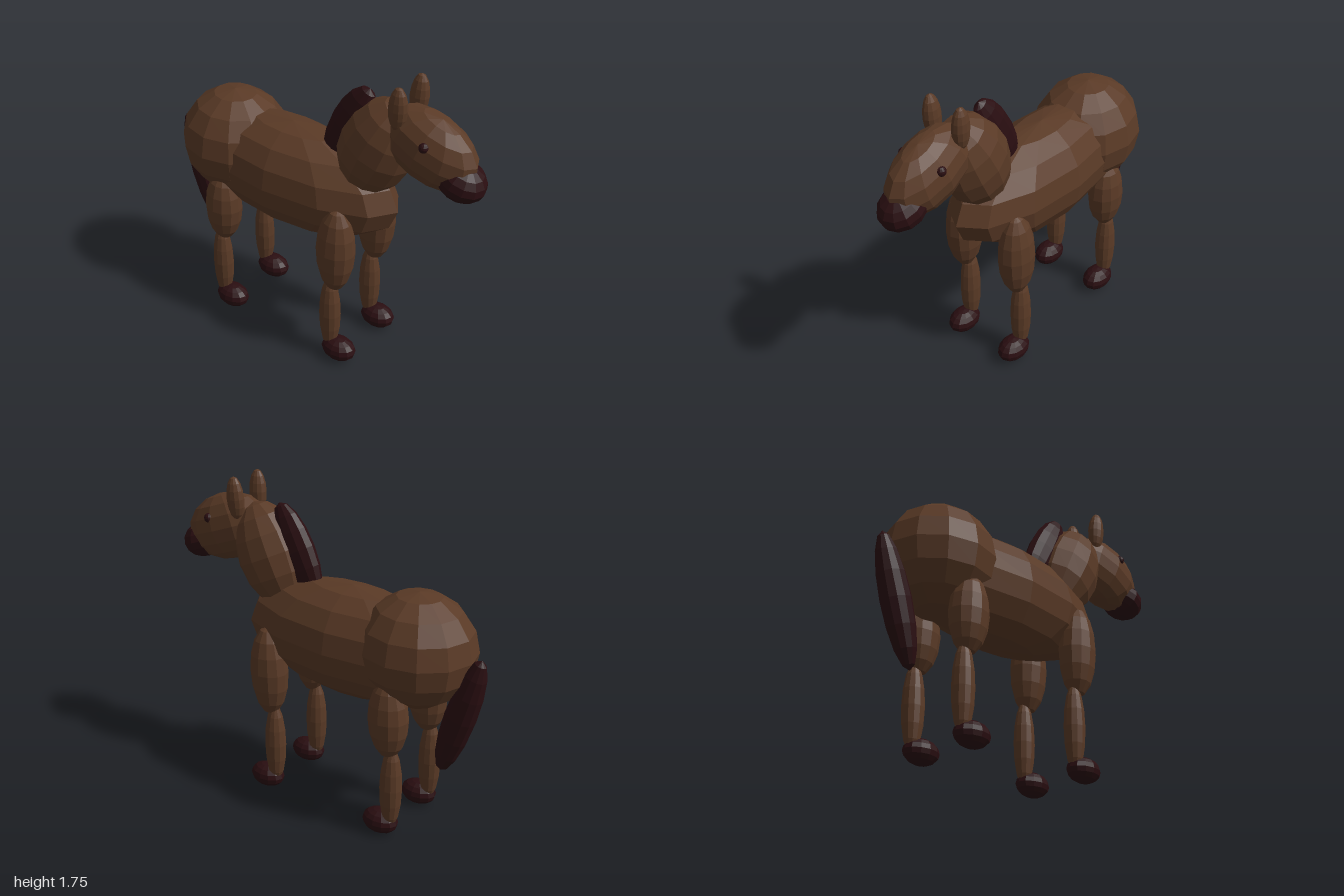
import * as THREE from 'three';

const coat = new THREE.MeshStandardMaterial({ color: 0x5a3a26, flatShading: true });
coat.name = 'brown coat';
const dark = new THREE.MeshStandardMaterial({ color: 0x2a0e11, flatShading: true });
dark.name = 'dark hair and hooves';

// Faceted ellipsoid: centre, radii, and forward pitch around x
function ellipsoid(name, material, center, radii, pitch = 0, roll = 0, sides = 12, rings = 8) {
  const mesh = new THREE.Mesh(new THREE.SphereGeometry(1, sides, rings), material);
  mesh.name = name;
  mesh.position.set(...center);
  mesh.scale.set(...radii);
  mesh.rotation.set(pitch, 0, roll);
  return mesh;
}

// One leg: thigh, shin and hoof
function leg(name, side, thigh, shinZ, hoofZ) {
  const group = new THREE.Group();
  const x = 0.185 * side;
  group.name = name;
  group.add(
    ellipsoid('upperLeg', coat, [x, thigh.y, thigh.z], [0.095, thigh.ry, 0.112], 0.03),
    ellipsoid('lowerLeg', coat, [x, 0.29, shinZ], [0.056, 0.245, 0.062]),
    ellipsoid('hoof', dark, [x, 0.071, hoofZ], [0.075, 0.068, 0.105])
  );
  return group;
}

export function createModel() {
  const model = new THREE.Group();
  model.name = 'horse';

  // Trunk
  model.add(
    ellipsoid('body', coat, [0, 0.975, -0.18], [0.272, 0.305, 0.69]),
    ellipsoid('rump', coat, [0, 1.03, -0.59], [0.293, 0.31, 0.32])
  );

  // Neck, head and hair
  model.add(
    ellipsoid('neck', coat, [0, 1.325, 0.37], [0.172, 0.305, 0.207], 0.44),
    ellipsoid('head', coat, [0, 1.43, 0.68], [0.147, 0.187, 0.282], 0.35),
    ellipsoid('muzzle', dark, [0, 1.315, 0.868], [0.12, 0.101, 0.135], 0.35),
    ellipsoid('mane', dark, [0, 1.385, 0.19], [0.067, 0.275, 0.11], 0.47),
    ellipsoid('tail', dark, [0, 0.725, -0.86], [0.072, 0.36, 0.087], -0.3)
  );

  // Mirrored parts
  for (const [label, s] of [['left', 1], ['right', -1]]) {
    model.add(
      ellipsoid(label + 'Ear', coat, [0.092 * s, 1.63, 0.545], [0.042, 0.122, 0.052], 0.05, -0.04 * s),
      ellipsoid(label + 'Eye', dark, [0.121 * s, 1.495, 0.72], [0.027, 0.027, 0.027]),
      leg(label + 'FrontLeg', s, { y: 0.73, z: 0.25, ry: 0.26 }, 0.215, 0.277),
      leg(label + 'BackLeg', s, { y: 0.69, z: -0.545, ry: 0.22 }, -0.572, -0.51)
    );
  }
  return model;
}
